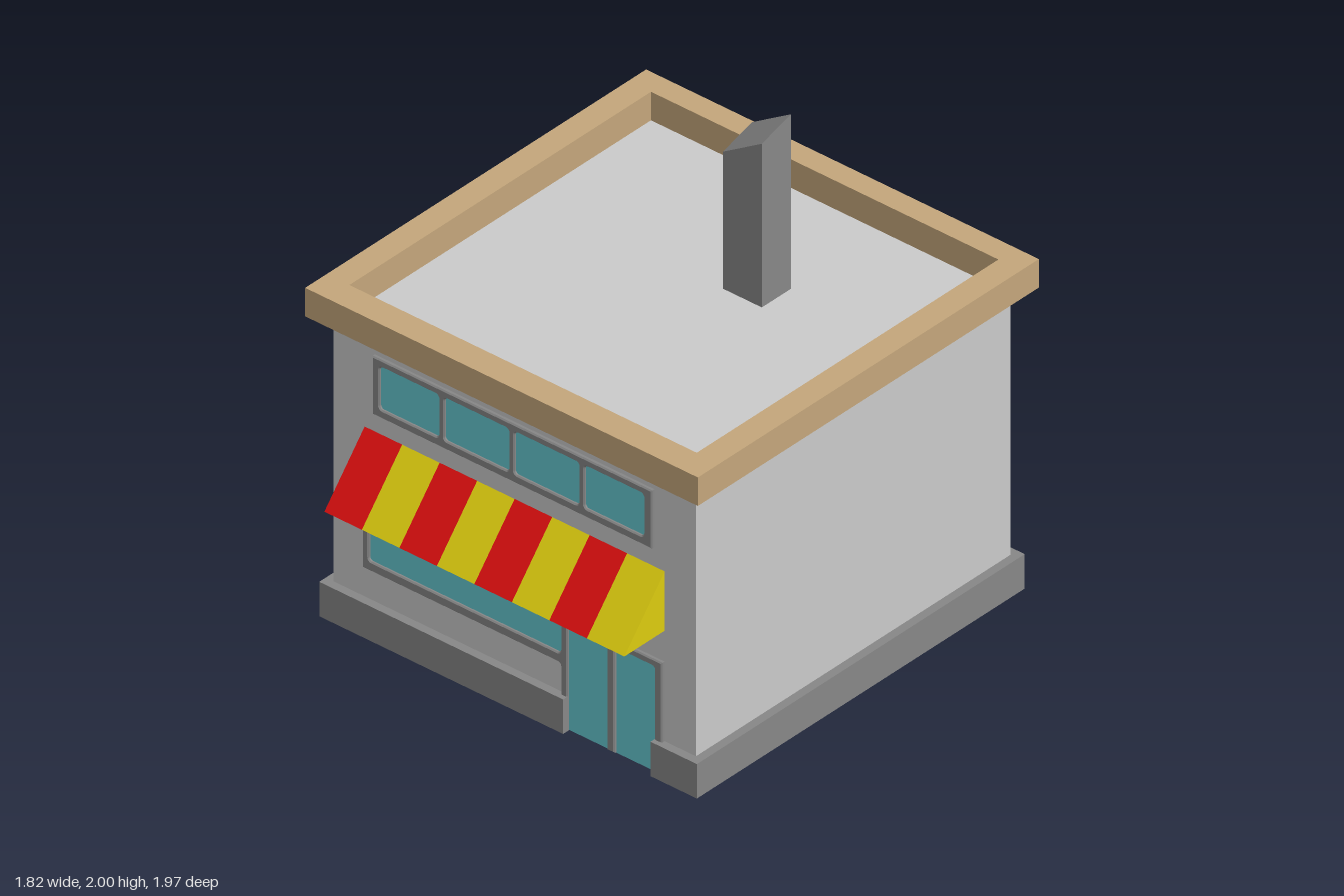
import * as THREE from 'three';

const mat = (name, color) => {
  const m = new THREE.MeshStandardMaterial({ color });
  m.name = name;
  return m;
};

export function createModel() {
  const wall = mat('wall light grey', 0xcacaca);
  const grey = mat('trim grey', 0x878787);
  const tan = mat('parapet tan', 0xc4a67b);
  const glass = mat('glass blue', 0x66c8d1);
  const red = mat('awning red', 0xdc0f0f);
  const yellow = mat('awning yellow', 0xdccb0f);

  const model = new THREE.Group();
  model.name = 'shop';
  const ZC = -0.07; // centre of the building in depth

  const add = (parent, name, geo, material) => {
    const m = new THREE.Mesh(geo, material);
    m.name = name;
    parent.add(m);
    return m;
  };
  const box = (x0, x1, y0, y1, z0, z1) =>
    new THREE.BoxGeometry(x1 - x0, y1 - y0, z1 - z0)
      .translate((x0 + x1) / 2, (y0 + y1) / 2, (z0 + z1) / 2);
  const polygon = pts => new THREE.Shape(pts.map(p => new THREE.Vector2(...p)));
  const rect = (x0, x1, y0, y1) => polygon([[x0, y0], [x1, y0], [x1, y1], [x0, y1]]);
  const roundRect = (x0, x1, y0, y1, r = 0.015) => {
    const p = new THREE.Path();
    p.absarc(x1 - r, y1 - r, r, 0, Math.PI / 2);
    p.absarc(x0 + r, y1 - r, r, Math.PI / 2, Math.PI);
    p.absarc(x0 + r, y0 + r, r, Math.PI, Math.PI * 1.5);
    p.absarc(x1 - r, y0 + r, r, Math.PI * 1.5, Math.PI * 2);
    p.closePath();
    return p;
  };
  // Plan shape (x, -z) raised from y0 to y1
  const slab = (shape, y0, y1) =>
    new THREE.ExtrudeGeometry(shape, { depth: y1 - y0, bevelEnabled: false })
      .rotateX(-Math.PI / 2).translate(0, y0, 0);
  // Flat trim 0.015 thick with a slim bevelled edge
  const trim = shape => new THREE.ExtrudeGeometry(shape, {
    depth: 0.01, bevelThickness: 0.005, bevelSize: 0.005, bevelOffset: -0.005,
    bevelSegments: 1, curveSegments: 3,
  });

  // Main block
  add(model, 'walls', box(-0.84, 0.84, 0.1, 1.265, ZC - 0.84, ZC + 0.84), wall);

  // Plinth with a notch for the doorway
  const plinth = polygon([
    [-0.875, -0.805], [0.255, -0.805], [0.255, -0.77], [0.66, -0.77],
    [0.66, -0.805], [0.875, -0.805], [0.875, 0.945], [-0.875, 0.945],
  ]);
  add(model, 'plinth', slab(plinth, 0, 0.145), grey);

  // Parapet ring around the roof
  const ring = rect(-0.91, 0.91, -0.84, 0.98);
  ring.holes.push(rect(-0.805, 0.805, -0.725, 0.885));
  add(model, 'parapet', slab(ring, 1.265, 1.385), tan);

  // Chimney with a slanted top
  const chimneyGeo = box(0.08, 0.26, 1.25, 2, -0.405, -0.25);
  const pos = chimneyGeo.attributes.position;
  for (let i = 0; i < pos.count; i++) {
    if (pos.getY(i) < 1.5) continue;
    const u = (pos.getX(i) - 0.08) / 0.18, v = (-0.25 - pos.getZ(i)) / 0.155;
    pos.setY(i, 1.842 + 0.112 * u + 0.046 * v);
  }
  const chimney = chimneyGeo.toNonIndexed();
  chimney.computeVertexNormals();
  add(model, 'chimney', chimney, grey);

  // Upper strip windows on the front, back and right walls
  const panes = [[-0.615, -0.34], [-0.315, -0.015], [0.01, 0.31], [0.335, 0.61]];
  const stripWindow = (name, angle) => {
    const g = new THREE.Group();
    g.name = name;
    const frame = rect(-0.648, 0.648, 0.94, 1.185);
    for (const [a, b] of panes) frame.holes.push(roundRect(a, b, 0.975, 1.155));
    add(g, 'windowFrame', trim(frame), grey).position.z = 0.84;
    add(g, 'windowGlass', box(-0.63, 0.63, 0.96, 1.17, 0.838, 0.844), glass);
    g.position.z = ZC;
    g.rotation.y = angle;
    model.add(g);
  };
  stripWindow('frontUpperWindow', 0);
  stripWindow('backUpperWindow', Math.PI);
  stripWindow('rightUpperWindow', -Math.PI / 2);

  // Shop front: long window joined to a pair of doors
  const shop = new THREE.Shape();
  shop.moveTo(-0.695, 0.275);
  shop.lineTo(0.21, 0.275);
  shop.quadraticCurveTo(0.225, 0.275, 0.225, 0.26);
  shop.lineTo(0.225, 0.004);
  const doors = [[0.255, 0.44], [0.475, 0.66]];
  for (const [a, b] of doors) {
    shop.lineTo(a, 0.004);
    shop.lineTo(a, 0.435);
    shop.quadraticCurveTo(a, 0.45, a + 0.015, 0.45);
    shop.lineTo(b - 0.015, 0.45);
    shop.quadraticCurveTo(b, 0.45, b, 0.435);
    shop.lineTo(b, 0.004);
  }
  shop.lineTo(0.695, 0.004);
  shop.lineTo(0.695, 0.48);
  shop.lineTo(-0.695, 0.48);
  shop.holes.push(roundRect(-0.665, 0.225, 0.315, 0.45));
  add(model, 'shopFrontFrame', trim(shop), grey).position.z = 0.77;
  add(model, 'shopWindowGlass', box(-0.68, 0.235, 0.3, 0.465, 0.768, 0.774), glass);
  for (const [a, b] of doors)
    add(model, 'doorGlass', box(a - 0.005, b + 0.005, 0.002, 0.46, 0.768, 0.774), glass);

  // Striped awning made of wedge slices
  const awning = new THREE.Group();
  awning.name = 'awning';
  const stripe = 1.39 / 8;
  const wedge = new THREE.ExtrudeGeometry(
    polygon([[-0.77, 0.61], [-0.77, 0.86], [-0.985, 0.61]]),
    { depth: stripe, bevelEnabled: false }).rotateY(Math.PI / 2);
  for (let i = 0; i < 8; i++)
    add(awning, 'awningStripe', wedge, i % 2 ? yellow : red).position.x = -0.695 + i * stripe;
  model.add(awning);

  return model;
}
